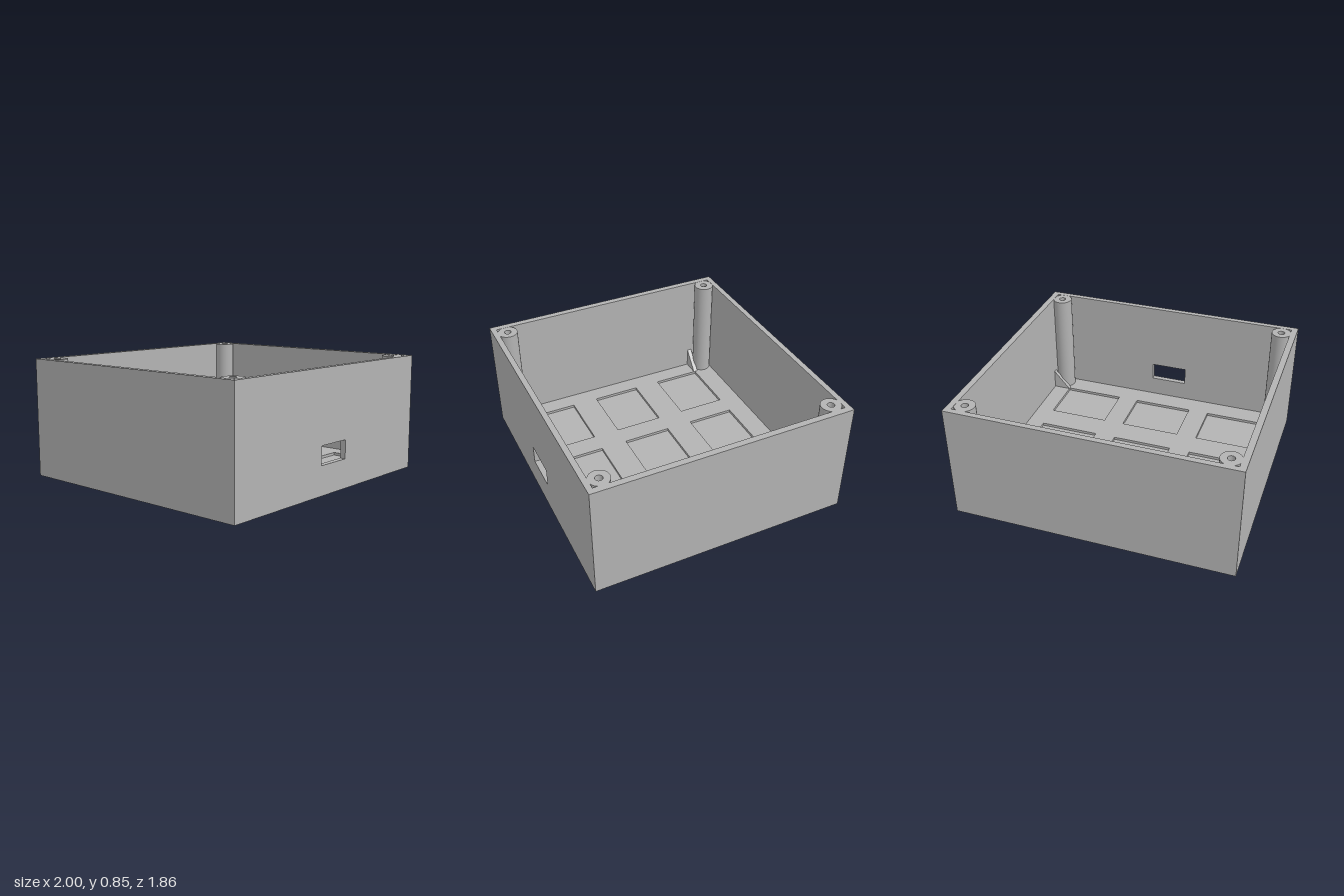
import * as THREE from 'three';

const W = 1, D = 0.93, H = 0.845;      // outer half width, half depth, height
const IW = 0.955, ID = 0.89;           // inner half width, half depth
const BASE = 0.04, FLOOR = 0.06;       // recess bottom and floor level

function rect(target, x0, y0, x1, y1) {
  target.moveTo(x0, y0);
  target.lineTo(x1, y0);
  target.lineTo(x1, y1);
  target.lineTo(x0, y1);
  target.closePath();
  return target;
}

function extrude(shape, depth, curveSegments = 12) {
  return new THREE.ExtrudeGeometry(shape, { depth, bevelEnabled: false, curveSegments });
}

export function createModel() {
  const group = new THREE.Group();
  const grey = new THREE.MeshStandardMaterial({ color: 0xb3b3b3 });
  grey.name = 'plain grey';

  const add = (name, geometry, x = 0, y = 0, z = 0) => {
    const mesh = new THREE.Mesh(geometry, grey);
    mesh.name = name;
    mesh.position.set(x, y, z);
    group.add(mesh);
    return mesh;
  };

  // Bottom slab
  add('baseSlab', new THREE.BoxGeometry(2 * W, BASE, 2 * D), 0, BASE / 2, 0);

  // Floor layer with a three by three grid of shallow recesses
  const floor = rect(new THREE.Shape(), -IW, -ID, IW, ID);
  for (const x of [-0.603, 0, 0.603]) {
    for (const z of [-0.555, 0, 0.555]) {
      floor.holes.push(rect(new THREE.Path(), x - 0.224, z - 0.179, x + 0.224, z + 0.179));
    }
  }
  const floorGeometry = extrude(floor, FLOOR - BASE);
  floorGeometry.rotateX(-Math.PI / 2);
  add('recessedFloor', floorGeometry, 0, BASE, 0);

  // Front wall with the port opening
  const front = rect(new THREE.Shape(), -W, BASE, W, H);
  front.holes.push(rect(new THREE.Path(), -0.137, 0.205, 0.137, 0.337));
  add('frontWall', extrude(front, D - ID), 0, 0, ID);

  // Back and side walls
  const wallH = H - BASE, wallY = (H + BASE) / 2;
  add('backWall', new THREE.BoxGeometry(2 * W, wallH, D - ID), 0, wallY, -(D + ID) / 2);
  for (const s of [1, -1]) {
    add(s > 0 ? 'leftWall' : 'rightWall',
      new THREE.BoxGeometry(W - IW, wallH, 2 * ID), s * (W + IW) / 2, wallY, 0);
  }

  // Screw post: a turned profile with a blind hole in its top
  const r = 0.072, bore = 0.025, top = H - 0.001, boreBottom = 0.45;
  const rings = [
    [[r, BASE], [r, top]],
    [[r, top], [bore, top]],
    [[bore, top], [bore, boreBottom]],
    [[bore, boreBottom], [0, boreBottom]],
  ].map(part => new THREE.LatheGeometry(part.map(p => new THREE.Vector2(...p)), 40));

  // Triangular rib between side wall and floor
  const ribThickness = 0.033;
  const ribShape = s => {
    const shape = new THREE.Shape();
    shape.moveTo(s * IW, FLOOR);
    shape.lineTo(s * IW, 0.205);
    shape.lineTo(s * 0.828, FLOOR);
    shape.closePath();
    return shape;
  };

  // One post and one rib in every corner
  for (const sx of [1, -1]) {
    for (const sz of [1, -1]) {
      const post = new THREE.Group();
      post.name = 'screwPost';
      post.position.set(sx * 0.89, 0, sz * 0.823);
      for (const ring of rings) {
        const mesh = new THREE.Mesh(ring, grey);
        mesh.name = 'screwPostSurface';
        post.add(mesh);
      }
      group.add(post);
      add('cornerRib', extrude(ribShape(sx), ribThickness), 0, 0, sz * 0.741 - ribThickness / 2);
    }
  }

  return group;
}
